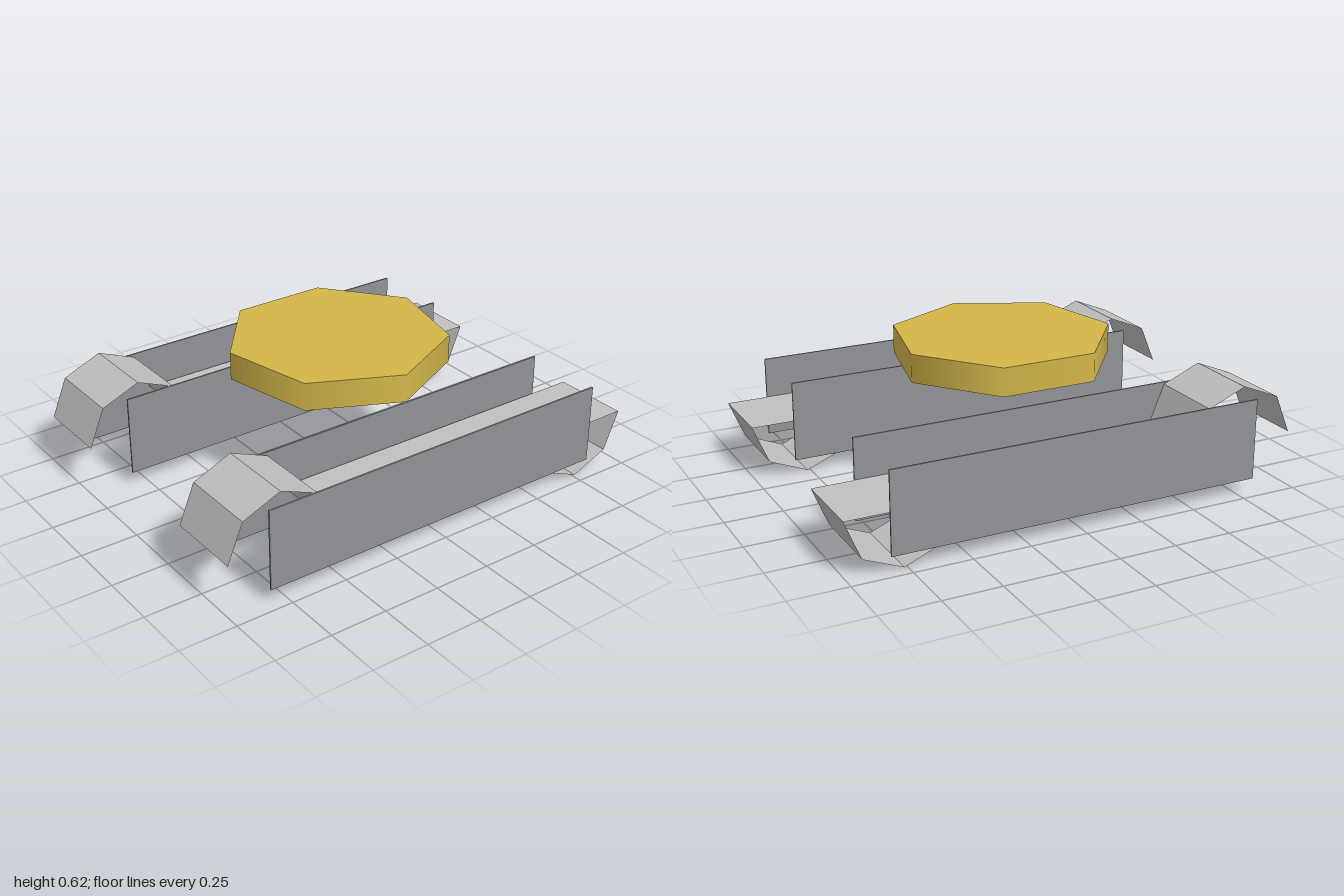
import * as THREE from 'three';

const silver = new THREE.MeshStandardMaterial({ color: 0xc0c0c0, side: THREE.DoubleSide });
silver.name = 'silver';
const steel = new THREE.MeshStandardMaterial({ color: 0x909296 });
steel.name = 'steel grey';
const gold = new THREE.MeshStandardMaterial({ color: 0xd4b74a });
gold.name = 'gold';

// Side profile of the belt: half octagon below at the back, half octagon above at the front
function beltProfile(r, endZ) {
  const points = [];
  for (const [centerZ, start] of [[-endZ, 360], [endZ, 180]]) {
    for (let i = 0; i <= 4; i++) {
      const a = THREE.MathUtils.degToRad(start - 45 * i);
      points.push([centerZ + r * Math.cos(a), r + r * Math.sin(a)]);
    }
  }
  return points;
}

// Open folded sheet that follows the profile
function beltGeometry(width) {
  const profile = beltProfile(0.237, 0.763);
  const plane = new THREE.PlaneGeometry(width, 1, 1, profile.length - 1);
  const pos = plane.attributes.position;
  for (let i = 0; i < pos.count; i++) {
    const [z, y] = profile[Math.floor(i / 2)];
    pos.setXYZ(i, pos.getX(i), y, z);
  }
  const flat = plane.toNonIndexed();
  flat.computeVertexNormals();
  return flat;
}

export function createModel() {
  const model = new THREE.Group();
  const add = (name, geometry, material, x, y) => {
    const mesh = new THREE.Mesh(geometry, material);
    mesh.name = name;
    mesh.position.set(x, y, 0);
    model.add(mesh);
    return mesh;
  };

  const belt = beltGeometry(0.341);
  const plate = new THREE.BoxGeometry(0.0075, 0.352, 1.64);
  for (const [label, side] of [['left', 1], ['right', -1]]) {
    // Belt between two thin guard plates
    add(`${label}Belt`, belt, silver, side * 0.5275 + 0.0037, 0);
    add(`${label}OuterPlate`, plate, steel, side * 0.706, 0.238);
    add(`${label}InnerPlate`, plate, steel, side * 0.349, 0.238);
  }

  // Seven-sided disc with one corner pointing to the left
  const disc = add('disc', new THREE.CylinderGeometry(0.474, 0.474, 0.122, 7), gold, 0, 0.563);
  disc.rotation.y = Math.PI / 2;
  return model;
}
